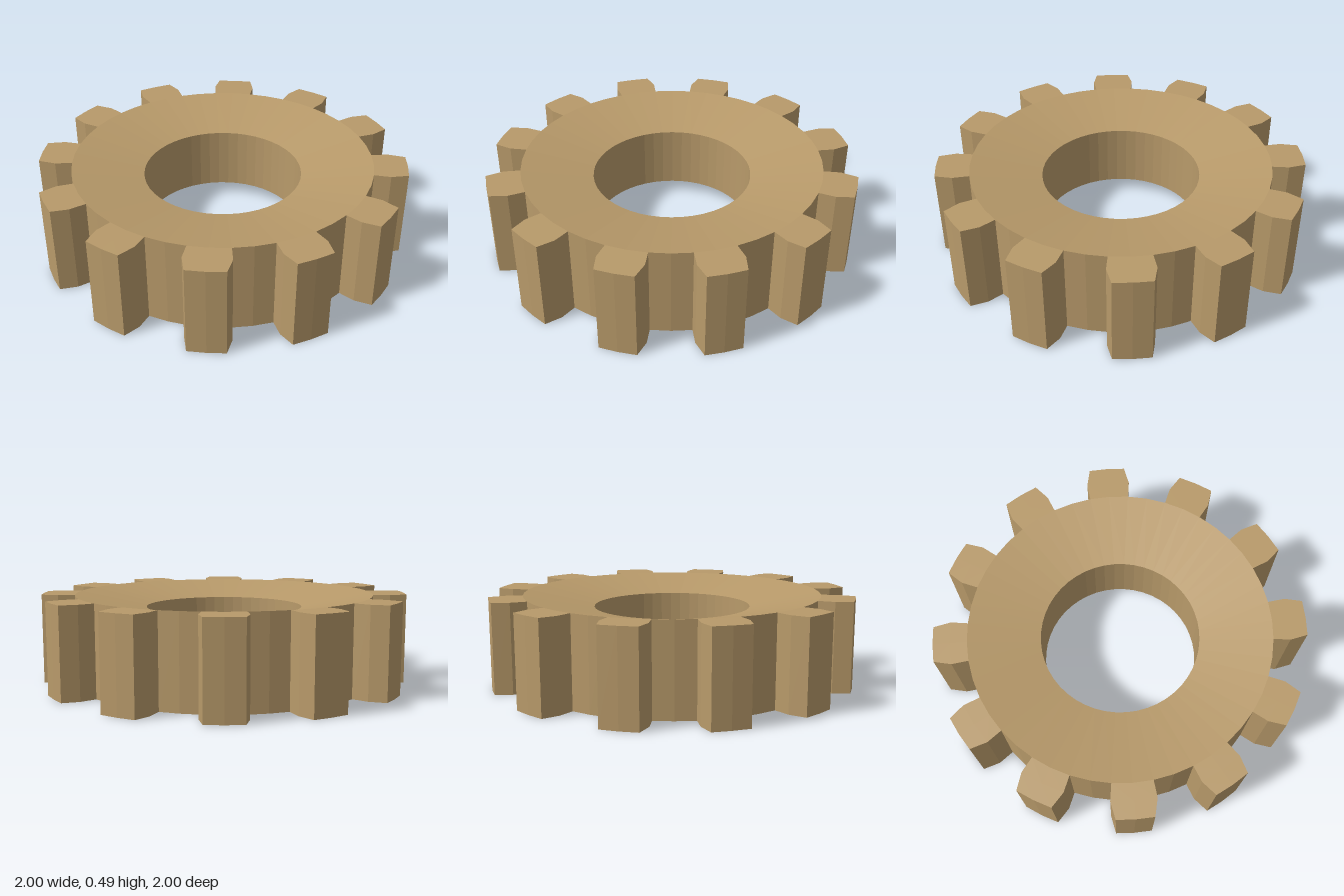
import * as THREE from 'three';

const TEETH = 12, STEP = Math.PI * 2 / (TEETH * 4);
const TURN = 4.2 * Math.PI / 180;   // angle of the first tooth
const HEIGHT = 0.49, DISH = 0.073;  // the faces sink by DISH towards the bore
const R_BORE = 0.43, R_ROOT = 0.818, R_PITCH = 0.909, R_TIP = 1;
const TIP_HALF = 5.65 * Math.PI / 180;

// Point at a radius, angle and height (angle runs anticlockwise from above)
const at = (r, a, y) => [r * Math.cos(a + TURN), y, -r * Math.sin(a + TURN)];

// Collects quads, corners anticlockwise from outside
function quadBuilder() {
  const pos = [];
  return {
    quad(a, b, c, d) { pos.push(...a, ...b, ...c, ...a, ...c, ...d); },
    // upright wall from one (r, angle) point to the next, facing right of travel
    wall([r0, a0], [r1, a1], y0, y1) {
      this.quad(at(r0, a0, y0), at(r1, a1, y0), at(r1, a1, y1), at(r0, a0, y1));
    },
    // top and bottom faces between an inner and an outer edge
    caps([ri, i0, i1], [ro, o0, o1], inset) {
      const t = HEIGHT - inset;
      this.quad(at(ri, i0, t), at(ro, o0, HEIGHT), at(ro, o1, HEIGHT), at(ri, i1, t));
      this.quad(at(ri, i1, inset), at(ro, o1, 0), at(ro, o0, 0), at(ri, i0, inset));
    },
    build() {
      const g = new THREE.BufferGeometry();
      g.setAttribute('position', new THREE.Float32BufferAttribute(pos, 3));
      g.computeVertexNormals();
      return g;
    },
  };
}

// Dished ring with bore, and the outer wall in the gaps between teeth
function ringGeometry() {
  const q = quadBuilder();
  for (let i = 0; i < TEETH * 4; i++) {
    const a = (i - 1) * STEP, b = a + STEP;
    q.caps([R_BORE, a, b], [R_ROOT, a, b], DISH);
    q.wall([R_BORE, b], [R_BORE, a], DISH, HEIGHT - DISH);
    if (i % 4 > 1) q.wall([R_ROOT, a], [R_ROOT, b], 0, HEIGHT);
  }
  return q.build();
}

// One tooth: radial flanks up to the pitch circle, then tapered to the tip
function toothGeometry() {
  const q = quadBuilder();
  for (const [a, b, ta, tb] of [[-STEP, 0, -TIP_HALF, 0], [0, STEP, 0, TIP_HALF]]) {
    q.caps([R_ROOT, a, b], [R_PITCH, a, b], 0);
    q.caps([R_PITCH, a, b], [R_TIP, ta, tb], 0);
    q.wall([R_TIP, ta], [R_TIP, tb], 0, HEIGHT);
  }
  q.wall([R_ROOT, -STEP], [R_PITCH, -STEP], 0, HEIGHT);
  q.wall([R_PITCH, -STEP], [R_TIP, -TIP_HALF], 0, HEIGHT);
  q.wall([R_TIP, TIP_HALF], [R_PITCH, STEP], 0, HEIGHT);
  q.wall([R_PITCH, STEP], [R_ROOT, STEP], 0, HEIGHT);
  return q.build();
}

export function createModel() {
  const gear = new THREE.Group();
  gear.name = 'gear';
  const material = new THREE.MeshStandardMaterial({ color: 0xb89a6a, flatShading: true });

  const ring = new THREE.Mesh(ringGeometry(), material);
  ring.name = 'ring';
  gear.add(ring);

  const toothShape = toothGeometry();
  for (let i = 0; i < TEETH; i++) {
    const tooth = new THREE.Mesh(toothShape, material);
    tooth.name = `tooth${i + 1}`;
    tooth.rotation.y = i * STEP * 4;
    gear.add(tooth);
  }
  return gear;
}
